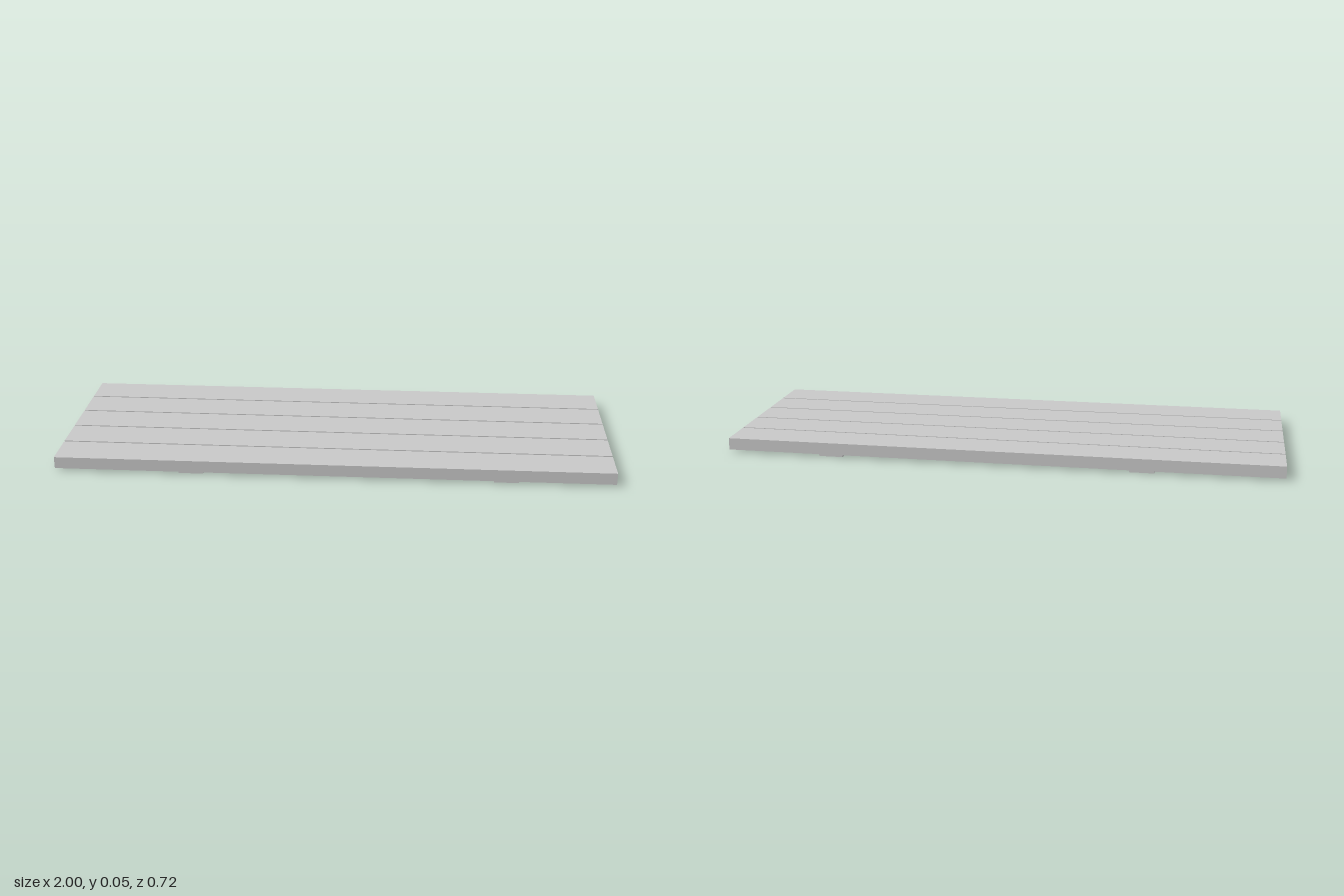
import * as THREE from 'three';

export function createModel() {
  const group = new THREE.Group();
  const material = new THREE.MeshStandardMaterial({ color: 0xcccccc, flatShading: true });

  const addBox = (name, size, position) => {
    const mesh = new THREE.Mesh(new THREE.BoxGeometry(...size), material);
    mesh.name = name;
    mesh.position.set(...position);
    group.add(mesh);
  };

  // Five long planks with narrow gaps between them
  const plankWidth = 0.1385, pitch = 0.1458, plankBottom = 0.009, plankTop = 0.052;
  for (let i = -2; i <= 2; i++) {
    addBox(`plank${i + 3}`, [2, plankTop - plankBottom, plankWidth],
      [0, (plankTop + plankBottom) / 2, i * pitch]);
  }

  // Two cross battens underneath, let slightly into the planks
  const battenHeight = 0.0145;
  [['rightBatten', -0.508], ['leftBatten', 0.616]].forEach(([name, x]) =>
    addBox(name, [0.088, battenHeight, 0.706], [x, battenHeight / 2, -0.001]));

  return group;
}
